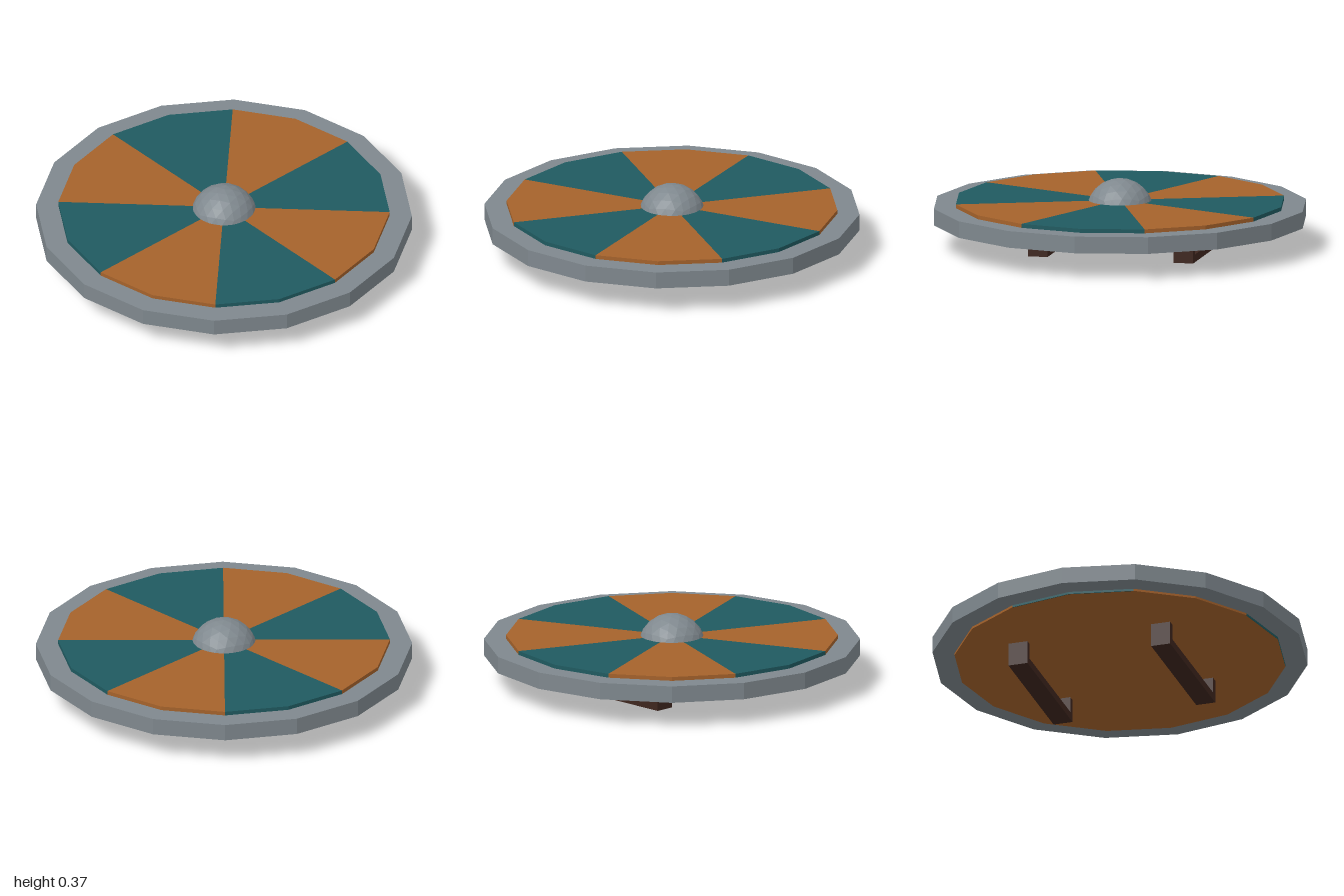
import * as THREE from 'three';

const SIDES = 16;

function material(color) {
  return new THREE.MeshStandardMaterial({ color, flatShading: true });
}

// Regular polygon outline with a corner on each axis
function polygon(radius, Type) {
  const points = [];
  for (let i = 0; i < SIDES; i++) {
    const a = (i / SIDES) * Math.PI * 2;
    points.push(new THREE.Vector2(radius * Math.cos(a), radius * Math.sin(a)));
  }
  return new Type(points);
}

export function createModel() {
  const shield = new THREE.Group();
  shield.name = 'roundShield';
  const steel = material(0x7f888e);
  const orange = material(0xa5622b);
  const teal = material(0x1f5a60);
  const darkWood = material(0x3e261e);

  function add(name, geometry, mat, x = 0, y = 0, z = 0) {
    const mesh = new THREE.Mesh(geometry, mat);
    mesh.name = name;
    mesh.position.set(x, y, z);
    shield.add(mesh);
    return mesh;
  }

  // Metal rim: sixteen-sided ring
  const ring = polygon(1, THREE.Shape);
  ring.holes.push(polygon(0.87, THREE.Path));
  const rim = new THREE.ExtrudeGeometry(ring, { depth: 0.09, bevelEnabled: false });
  rim.rotateX(-Math.PI / 2);
  add('rim', rim, steel, 0, 0.142, 0);

  // Eight painted wedges, alternating colours
  const bottom = 0.13, top = 0.253;
  for (let i = 0; i < 8; i++) {
    const wedge = new THREE.CylinderGeometry(0.882, 0.882, top - bottom, 2, 1, false,
      (i - 0.5) * Math.PI / 4, Math.PI / 4);
    add('wedge' + (i + 1), wedge, i % 2 ? orange : teal, 0, (top + bottom) / 2, 0);
  }

  // Plain backing under the wedges
  const back = new THREE.CircleGeometry(0.882, SIDES);
  back.rotateX(Math.PI / 2);
  add('backing', back, orange, 0, bottom - 0.002, 0);

  // Faceted central boss, a ball flattened below its middle
  const boss = new THREE.IcosahedronGeometry(0.18, 3);
  boss.rotateX(-Math.atan((1 + Math.sqrt(5)) / 2));
  const p = boss.attributes.position;
  for (let i = 0; i < p.count; i++) p.setY(i, Math.max(p.getY(i), 0));
  boss.computeVertexNormals();
  add('boss', boss, steel, 0, 0.19, 0);

  // Two U-shaped handles on the back
  const u = new THREE.Shape([
    [-0.39, 0], [0.39, 0], [0.39, 0.14], [0.35, 0.14],
    [0.35, 0.042], [-0.35, 0.042], [-0.35, 0.14], [-0.39, 0.14],
  ].map(([x, y]) => new THREE.Vector2(x, y)));
  const handle = new THREE.ExtrudeGeometry(u, { depth: 0.106, bevelEnabled: false });
  add('frontHandle', handle, darkWood, 0, 0, 0.3);
  add('backHandle', handle, darkWood, 0, 0, -0.497);

  return shield;
}
